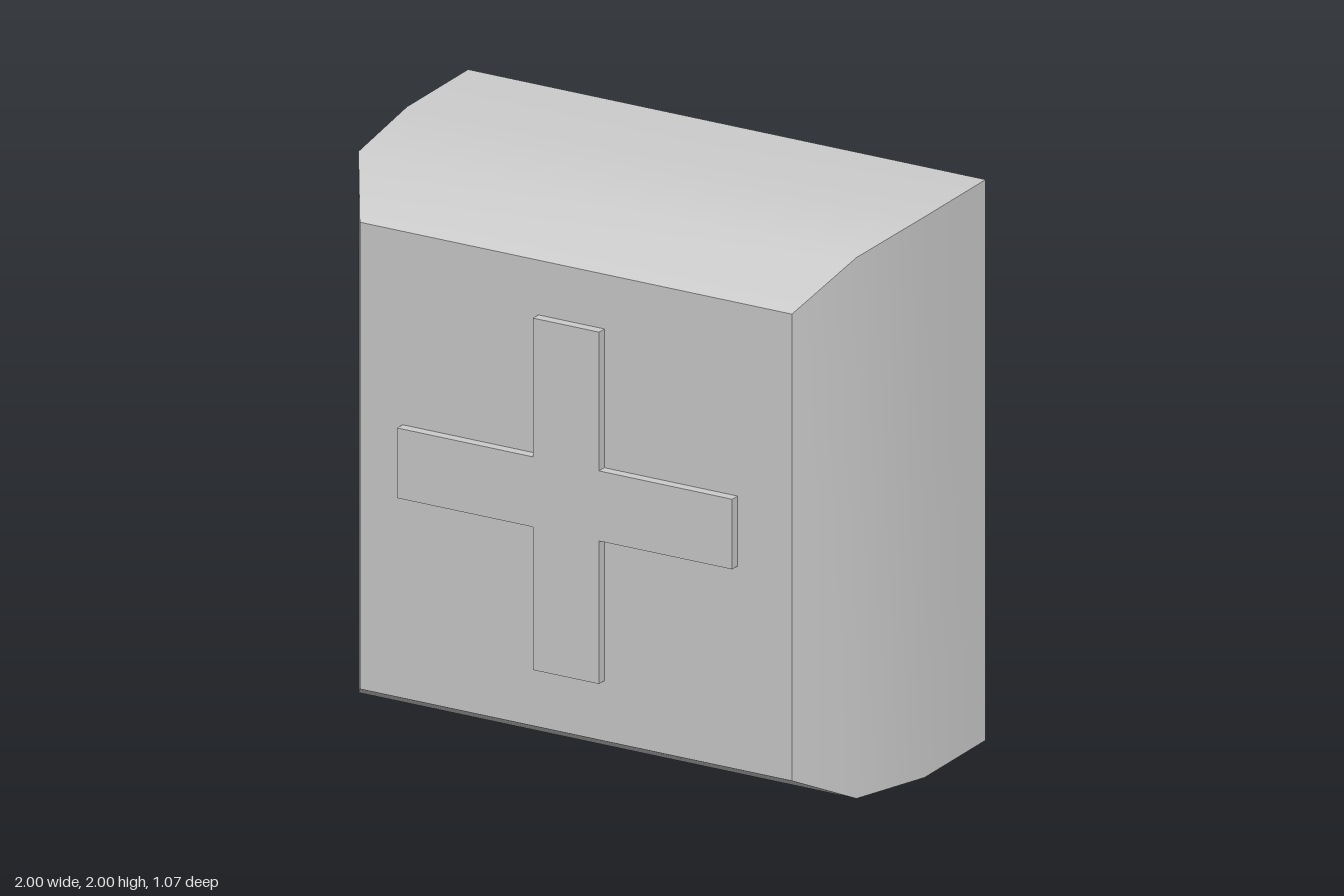
import * as THREE from 'three';

// Cross-sections from back to front
const SECTIONS = [
  { z: -0.53, l: -1, r: 1, b: 0, t: 2 },
  { z: -0.13, l: -1, r: 1, b: 0, t: 2 },
  { z: 0.23, l: -0.975, r: 0.95, b: 0.035, t: 1.965 },
  { z: 0.5, l: -0.81, r: 0.86, b: 0.17, t: 1.835 },
];

const corners = ({ z, l, r, b, t }) => [[l, b, z], [r, b, z], [r, t, z], [l, t, z]];

// Lofted block: each side is its own strip, smooth along its length and sharp at the corners
function bodyGeometry() {
  const positions = [], index = [];
  const rings = SECTIONS.map(corners);
  for (let k = 0; k < 4; k++) {
    const start = positions.length / 3;
    rings.forEach((ring, i) => {
      positions.push(...ring[k], ...ring[(k + 1) % 4]);
      if (i === 0) return;
      const a = start + (i - 1) * 2;
      index.push(a, a + 1, a + 3, a, a + 3, a + 2);
    });
  }
  // Flat back and front
  for (const ring of [[...rings[0]].reverse(), rings[rings.length - 1]]) {
    const s = positions.length / 3;
    positions.push(...ring.flat());
    index.push(s, s + 1, s + 2, s, s + 2, s + 3);
  }
  const geometry = new THREE.BufferGeometry();
  geometry.setAttribute('position', new THREE.Float32BufferAttribute(positions, 3));
  geometry.setIndex(index);
  geometry.computeVertexNormals();
  return geometry;
}

// Thin raised plus sign
function crossGeometry() {
  const [x0, x1, x2, x3] = [-0.645, -0.12, 0.135, 0.65];
  const [y0, y1, y2, y3] = [0.385, 0.895, 1.145, 1.64];
  const shape = new THREE.Shape([
    [x1, y0], [x2, y0], [x2, y1], [x3, y1], [x3, y2], [x2, y2],
    [x2, y3], [x1, y3], [x1, y2], [x0, y2], [x0, y1], [x1, y1],
  ].map(([x, y]) => new THREE.Vector2(x, y)));
  return new THREE.ExtrudeGeometry(shape, { depth: 0.035, bevelEnabled: false }).translate(0, 0, 0.5);
}

export function createModel() {
  const group = new THREE.Group();
  group.name = 'crossBlock';
  const material = new THREE.MeshStandardMaterial({ color: 0xcccccc });
  const parts = { body: bodyGeometry(), raisedCross: crossGeometry() };
  for (const [name, geometry] of Object.entries(parts)) {
    const mesh = new THREE.Mesh(geometry, material);
    mesh.name = name;
    group.add(mesh);
  }
  return group;
}
